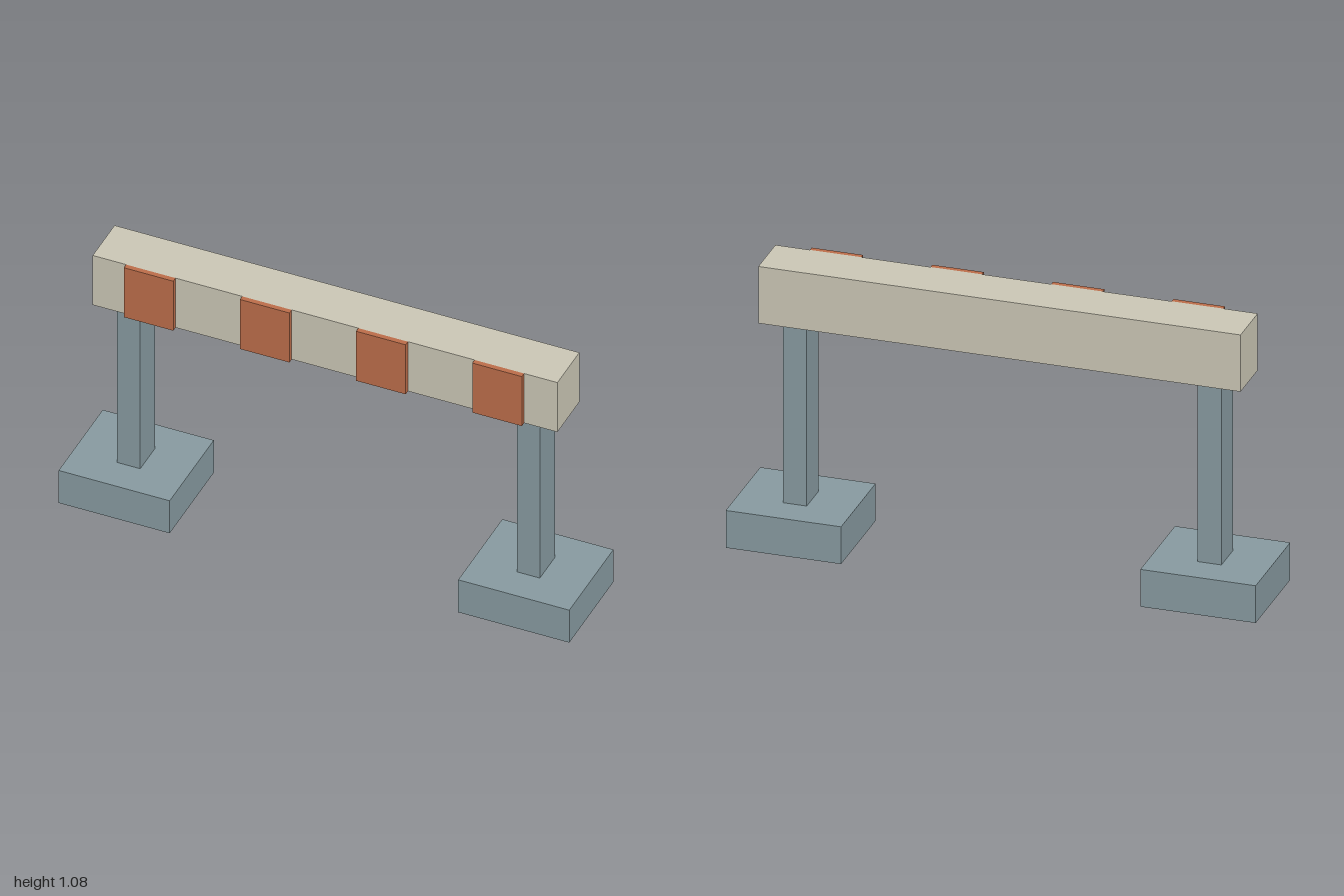
import * as THREE from 'three';

const material = (name, color) => {
  const m = new THREE.MeshStandardMaterial({ color });
  m.name = name;
  return m;
};

export function createModel() {
  const group = new THREE.Group();
  group.name = 'barrier';
  const steel = material('blue grey', 0x86999f);
  const cream = material('cream', 0xc9c5b4);
  const orange = material('rust orange', 0xba6c49);

  // Box standing on height y
  const box = (name, mat, [w, h, d], [x, y, z]) => {
    const mesh = new THREE.Mesh(new THREE.BoxGeometry(w, h, d), mat);
    mesh.name = name;
    mesh.position.set(x, y + h / 2, z);
    group.add(mesh);
  };

  // Feet and posts on both sides
  for (const [side, s] of [['left', 1], ['right', -1]]) {
    box(`${side}Foot`, steel, [0.435, 0.147, 0.387], [s * 0.7825, 0, 0]);
    box(`${side}Post`, steel, [0.09, 0.709, 0.131], [s * 0.7825, 0.147, 0]);
  }

  // Crossbeam
  box('beam', cream, [1.82, 0.224, 0.192], [0, 0.856, 0]);

  // Raised warning panels along the front of the beam
  for (let i = 0; i < 4; i++) {
    box(`stripe${i + 1}`, orange, [0.194, 0.224, 0.02], [(i - 1.5) * 0.455, 0.856, 0.106]);
  }
  return group;
}
